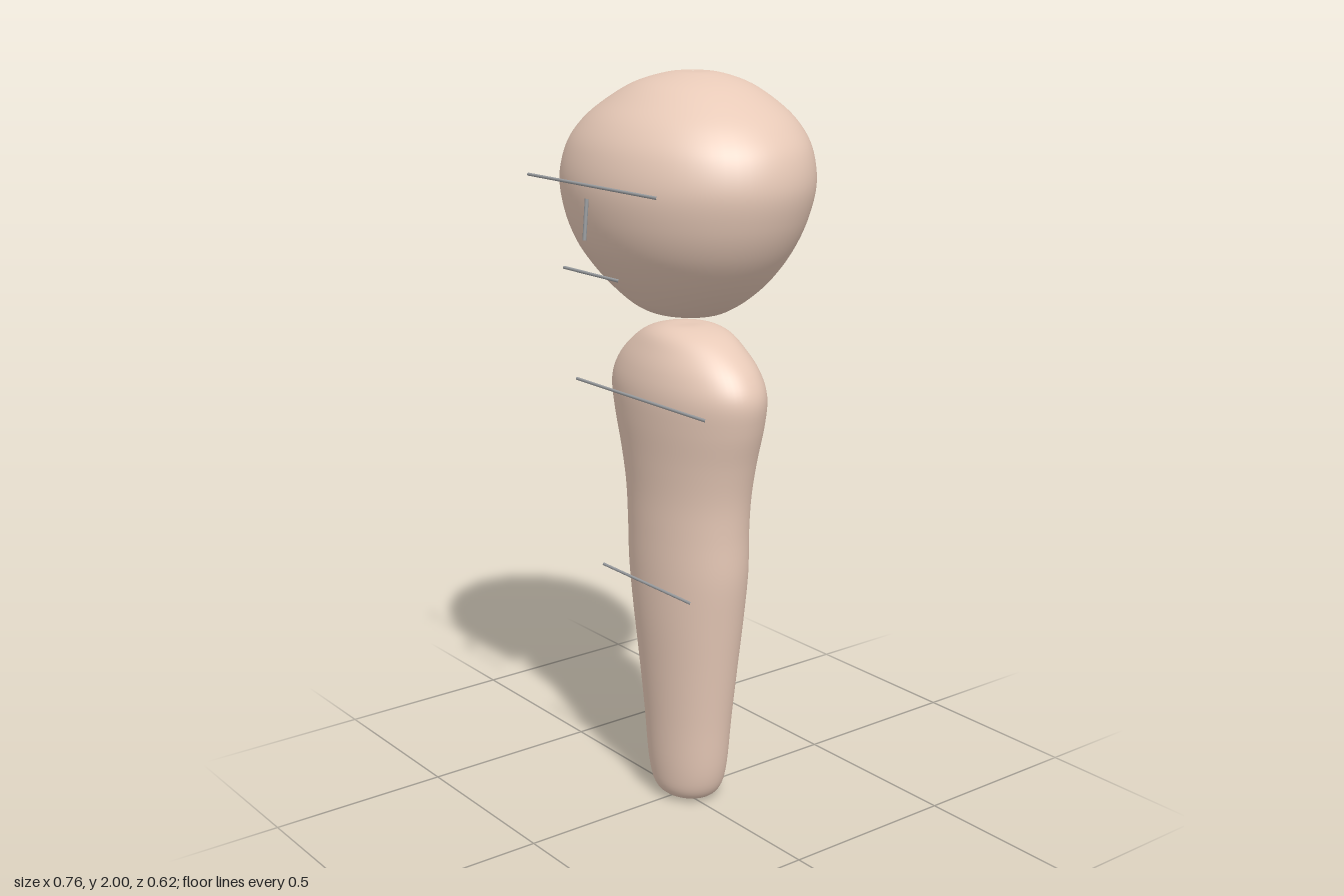
import * as THREE from 'three';

const skin = new THREE.MeshStandardMaterial({ color: 0xe8cab8 });
skin.name = 'skin';
const guide = new THREE.MeshStandardMaterial({ color: 0x9a9da0 });
guide.name = 'guideGrey';

// Smooth loft of elliptical sections; rows are [y, half width, front z, back z], bottom to top
function loft(rows, steps = 90, sides = 64) {
  const size = new THREE.CatmullRomCurve3(rows.map(([y, w, f, b]) => new THREE.Vector3(w, y, (f - b) / 2)), false, 'catmullrom');
  const shift = new THREE.CatmullRomCurve3(rows.map(([, , f, b]) => new THREE.Vector3(0, 0, (f + b) / 2)), false, 'catmullrom');
  const pos = [], index = [];
  for (let i = 0; i <= steps; i++) {
    const s = size.getPoint(i / steps), z = shift.getPoint(i / steps).z;
    for (let j = 0; j < sides; j++) {
      const a = (j / sides) * Math.PI * 2;
      pos.push(s.x * Math.sin(a), s.y, z + s.z * Math.cos(a));
      if (i === steps) continue;
      const p = i * sides + j, q = i * sides + (j + 1) % sides;
      index.push(p, q, q + sides, p, q + sides, p + sides);
    }
  }
  const g = new THREE.BufferGeometry();
  g.setAttribute('position', new THREE.Float32BufferAttribute(pos, 3));
  g.setIndex(index);
  g.computeVertexNormals();
  return g;
}

// Thin open-ended round rod between two points
function rod(name, a, b, radius) {
  const from = new THREE.Vector3(...a), to = new THREE.Vector3(...b);
  const dir = to.clone().sub(from);
  const mesh = new THREE.Mesh(new THREE.CylinderGeometry(radius, radius, dir.length(), 10, 1, true), guide);
  mesh.position.copy(from).add(to).multiplyScalar(0.5);
  mesh.quaternion.setFromUnitVectors(new THREE.Vector3(0, 1, 0), dir.normalize());
  mesh.name = name;
  return mesh;
}

export function createModel() {
  const group = new THREE.Group();

  // Tapered torso with rounded shoulders
  const torso = new THREE.Mesh(loft([
    [0.005, 0.001, -0.019, -0.021], [0.005, 0.06, 0.03, -0.07], [0.03, 0.1, 0.065, -0.105],
    [0.1, 0.124, 0.079, -0.119], [0.25, 0.141, 0.088, -0.129], [0.4, 0.16, 0.099, -0.141],
    [0.55, 0.18, 0.111, -0.153], [0.68, 0.196, 0.117, -0.159], [0.8, 0.2, 0.118, -0.158],
    [0.9, 0.209, 0.119, -0.16], [1.0, 0.23, 0.125, -0.166], [1.1, 0.258, 0.133, -0.174],
    [1.18, 0.269, 0.135, -0.175], [1.24, 0.243, 0.124, -0.164], [1.29, 0.193, 0.104, -0.143],
    [1.33, 0.129, 0.079, -0.118], [1.349, 0.06, 0.04, -0.075], [1.35, 0.001, -0.019, -0.021],
  ]), skin);
  torso.name = 'torso';

  // Wide egg-shaped head
  const head = new THREE.Mesh(loft([
    [1.38, 0.001, -0.014, -0.016], [1.381, 0.085, 0.06, -0.09], [1.404, 0.145, 0.115, -0.14],
    [1.45, 0.215, 0.165, -0.187], [1.505, 0.275, 0.21, -0.226], [1.57, 0.325, 0.25, -0.262],
    [1.645, 0.36, 0.275, -0.291], [1.73, 0.378, 0.284, -0.309], [1.81, 0.361, 0.267, -0.304],
    [1.87, 0.317, 0.234, -0.283], [1.92, 0.253, 0.185, -0.243], [1.97, 0.162, 0.112, -0.177],
    [1.997, 0.07, 0.025, -0.1], [2.0, 0.001, -0.034, -0.036],
  ]), skin);
  head.name = 'head';
  group.add(torso, head);

  // Horizontal guide lines: [name, half length, y, z]
  for (const [name, half, y, z] of [
    ['eyeLine', 0.277, 1.736, 0.288], ['mouthLine', 0.12, 1.515, 0.288],
    ['shoulderLine', 0.282, 1.17, 0.143], ['waistLine', 0.196, 0.655, 0.122],
  ]) group.add(rod(name, [-half, y, z], [half, y, z], 0.004));

  // Nose line
  group.add(rod('noseLine', [0, 1.705, 0.298], [0, 1.602, 0.307], 0.005));
  return group;
}
